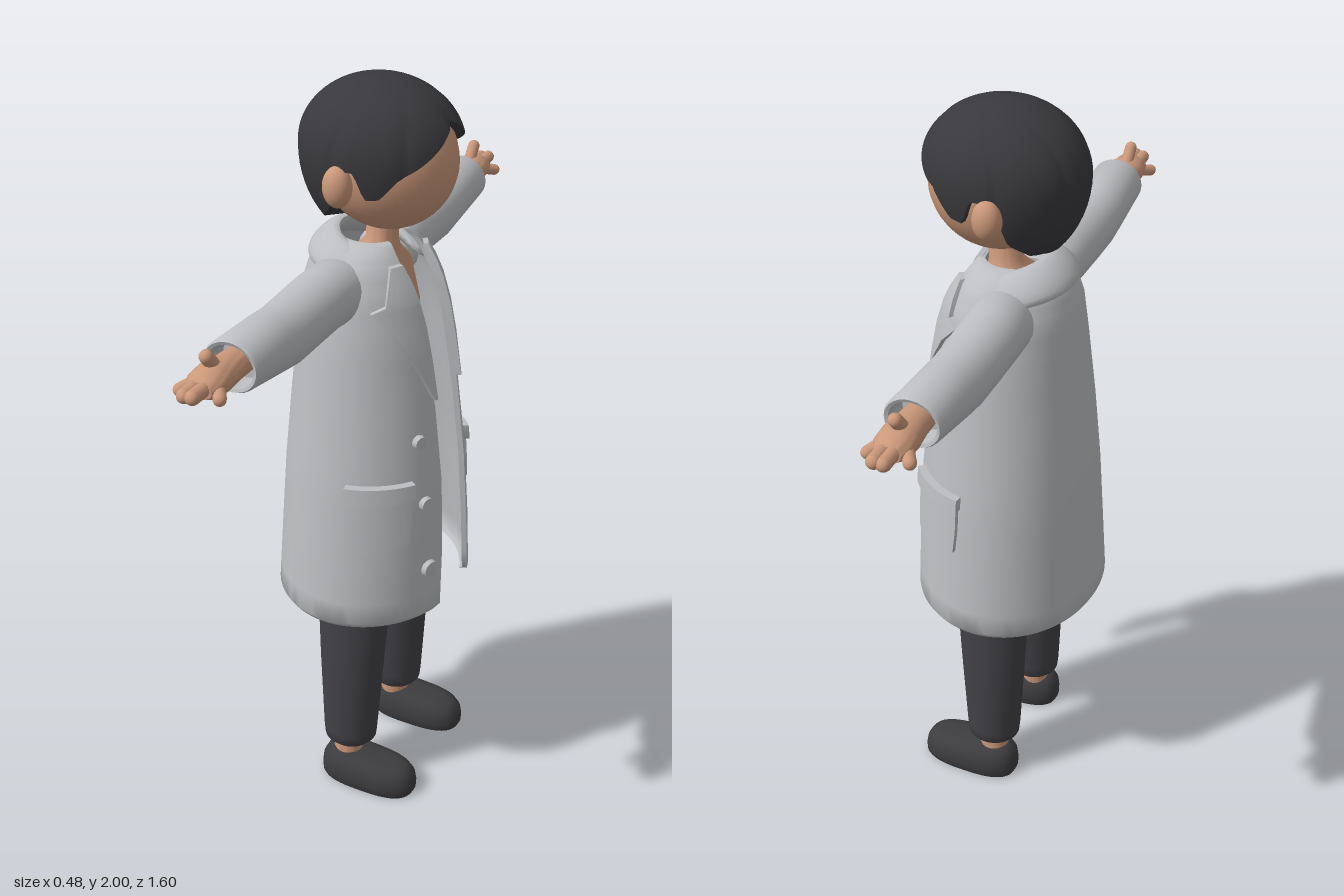
import * as THREE from 'three';
import { toCreasedNormals } from 'three/addons/utils/BufferGeometryUtils.js';

const { PI, sin, cos, asin, acos, abs, sqrt, min, max } = Math;
const lerp = THREE.MathUtils.lerp;
const mat = (name, color) => Object.assign(new THREE.MeshStandardMaterial({ color }), { name });

// Interpolates a table of rows keyed by the first column
function sample(rows, k) {
  let i = 0;
  while (i < rows.length - 2 && k > rows[i + 1][0]) i++;
  const a = rows[i], b = rows[i + 1], t = min(1, max(0, (k - a[0]) / (b[0] - a[0])));
  return a.map((v, j) => lerp(v, b[j], t));
}

// Skins closed loops of points (counter-clockwise about their direction) and caps both ends
function loft(rings, crease = 0.9) {
  const n = rings[0].length, idx = [], last = (rings.length - 1) * n;
  for (let j = 0; j < rings.length - 1; j++) {
    for (let i = 0; i < n; i++) {
      const a = j * n + i, b = j * n + (i + 1) % n;
      idx.push(a, b, a + n, b, b + n, a + n);
    }
  }
  for (let i = 0; i < n / 2 - 1; i++) {
    const p = n - 1 - i, q = n - 2 - i;
    idx.push(i, p, i + 1, i + 1, p, q);
    idx.push(last + i, last + i + 1, last + p, last + i + 1, last + q, last + p);
  }
  const g = new THREE.BufferGeometry();
  g.setAttribute('position', new THREE.Float32BufferAttribute(rings.flat(2), 3));
  g.setIndex(idx);
  return toCreasedNormals(g, crease);
}

const loop = (n, fn) => Array.from({ length: n }, (_, i) => fn(i / n * 2 * PI));
// Upright body from rows [y, x, z, radiusX, radiusZ]
const upright = (rows, s = 1) => loft(rows.map(([y, x, z, rx, rz]) =>
  loop(32, a => [s * x + rx * sin(a), y, z + rz * cos(a)])));
// Sideways limb from rows [x, y, z, radiusY, radiusZ]
const sideways = (rows, s) => loft(rows.map(([x, y, z, ry, rz]) =>
  loop(28, a => [s * x, y + ry * cos(a), z + s * rz * sin(a)])));

// Coat profile: y, half width, front depth, back depth, half opening
const COAT = [
  [0.615, 0.28, 0.243, 0.236, 0.105], [0.63, 0.29, 0.252, 0.244, 0.09], [0.8, 0.272, 0.247, 0.234, 0.078],
  [1.0, 0.25, 0.236, 0.222, 0.07], [1.2, 0.222, 0.214, 0.205, 0.068], [1.4, 0.197, 0.182, 0.182, 0.068],
  [1.5, 0.178, 0.152, 0.17, 0.068], [1.56, 0.152, 0.122, 0.152, 0.068], [1.59, 0.125, 0.1, 0.13, 0.06],
  [1.61, 0.09, 0.085, 0.105, 0.05]];
function coatPoint(a, y, off) {
  const [, rx, rf, rb] = sample(COAT, y);
  return [(rx + off) * sin(a), y, ((cos(a) > 0 ? rf : rb) + off) * cos(a)];
}
const coatAngle = (x, y) => asin(min(1, x / sample(COAT, y)[1]));
// Slab hugging the coat from rows [y, angle from, angle to]
function patch(rows, off, s = 1, inner = -0.004) {
  const n = 16;
  return loft(rows.map(([y, lo, hi]) => {
    const [a, b] = s > 0 ? [lo, hi] : [-hi, -lo], out = [], back = [];
    for (let i = 0; i <= n; i++) {
      out.push(coatPoint(lerp(a, b, i / n), y, off));
      back.unshift(coatPoint(lerp(a, b, i / n), y, inner));
    }
    return [...out, ...back];
  }));
}

function coatShell() {
  const rows = COAT.flatMap((r, i) => i < COAT.length - 1 ? [0, 1, 2].map(k => lerp(r[0], COAT[i + 1][0], k / 3)) : [r[0]]);
  const n = 64;
  return loft(rows.map(y => {
    const a0 = coatAngle(sample(COAT, y)[4], y), out = [], inn = [];
    for (let i = 0; i <= n; i++) {
      const a = lerp(a0, 2 * PI - a0, i / n);
      out.push(coatPoint(a, y, 0));
      inn.unshift(coatPoint(a, y, -0.014));
    }
    return [...out, ...inn];
  }));
}

// Thick turned-down collar sweeping around the neck
function collarRoll() {
  const rings = [], n = 48;
  for (let i = 0; i <= n; i++) {
    const a = lerp(0.62, 2 * PI - 0.62, i / n), e = 0.3 + 0.7 * min(1, sqrt(min(i, n - i) / 5));
    const y = 1.568 - 0.027 * cos(a);
    rings.push(loop(18, t => {
      const u = 0.05 * e * cos(t), v = -0.018 * e * sin(t), r = 0.75 * u + 0.66 * v;
      return [(0.12 + r) * sin(a), y - 0.66 * u + 0.75 * v, -0.005 + (0.115 + r) * cos(a)];
    }));
  }
  return loft(rings);
}

// Hair cap with a centre parting, grooved locks and a shaped hairline
const HAIRLINE = [[0, 1.915], [0.25, 1.89], [0.6, 1.85], [1.0, 1.805], [1.2, 1.76], [1.38, 1.755],
  [1.5, 1.82], [1.75, 1.82], [1.95, 1.71], [2.3, 1.67], [PI, 1.655]];
function hairCap() {
  const rows = 24, rings = [];
  const at = (f, t, scale) => {
    const p = f > PI ? f - 2 * PI : f, q = abs(p);
    const yl = sample(HAIRLINE, q)[1] - 1.83;
    const th = acos(yl / (yl > 0 ? 0.17 : 0.24)) * t, st = sin(th), c = cos(th);
    const lock = (1 - abs(sin((q + 0.5 * (1 - st)) * 3.5))) ** 4;
    const k = scale * st * (1 - st * (0.03 * lock + 0.03 * Math.exp(-((p / 0.09) ** 2))));
    return [0.176 * k * sin(f), 1.83 + c * (c > 0 ? 0.17 : 0.24), 0.02 + 0.204 * k * cos(f)];
  };
  for (const s of [0.35, 0.8, 0.96]) rings.push(loop(120, f => at(f, 1, s)));
  for (let j = rows; j >= 0; j--) rings.push(loop(120, f => at(f, max(0.002, j / rows), 1)));
  return loft(rings, 1.0);
}

export function createModel() {
  const skin = mat('skin', 0xcb987a), coat = mat('coat grey', 0xbcbec1), hair = mat('hair', 0x39393d);
  const cloth = mat('trouser cloth', 0x424146), shoe = mat('shoe', 0x3d3c3f);
  const figure = new THREE.Group();
  const add = (name, geo, m, pos = [0, 0, 0]) => {
    const mesh = new THREE.Mesh(geo, m);
    mesh.name = name;
    mesh.position.set(...pos);
    figure.add(mesh);
    return mesh;
  };
  const ball = (rx, ry, rz) => new THREE.SphereGeometry(1, 36, 24).scale(rx, ry, rz);

  // Head, neck and torso
  add('head', ball(0.155, 0.166, 0.17), skin, [0, 1.8, 0.038]);
  add('hair', hairCap(), hair);
  add('torso', upright([[1.1, 0, 0.01, 0.135, 0.105], [1.25, 0, 0.01, 0.135, 0.108], [1.42, 0, 0, 0.14, 0.108],
    [1.52, 0, 0, 0.125, 0.085], [1.57, 0, 0.01, 0.065, 0.055], [1.6, 0, 0.022, 0.04, 0.04], [1.7, 0, 0.03, 0.038, 0.04]]), skin);

  // Trousers top and waistband
  add('hips', upright([[0.92, 0, 0.005, 0.1, 0.08], [0.96, 0, 0.005, 0.15, 0.108], [1.05, 0, 0.008, 0.15, 0.114], [1.13, 0, 0.01, 0.142, 0.112]]), cloth);
  add('waistband', upright([[1.11, 0, 0.01, 0.145, 0.119], [1.18, 0, 0.01, 0.142, 0.117]]), cloth);

  // Coat body, collar and buttons
  add('coatBody', coatShell(), coat);
  add('collar', collarRoll(), coat);
  for (const [y, r] of [[1.13, 0.02], [0.955, 0.021], [0.76, 0.026]]) {
    const a = -coatAngle(0.125, y), p = coatPoint(a, y, 0.002);
    add('button', new THREE.CylinderGeometry(r * 0.85, r, 0.018, 24).rotateX(PI / 2), coat, p).rotation.y = a * 0.8;
  }

  for (const s of [1, -1]) {
    add('ear', ball(0.032, 0.05, 0.036), skin, [s * 0.172, 1.78, -0.008]);

    // Lapel with a notch, and flapped pocket
    const lapel = [[1.23, 0.074], [1.34, 0.115], [1.42, 0.143], [1.475, 0.163], [1.488, 0.14], [1.53, 0.12], [1.57, 0.095]];
    add('lapel', patch(lapel.map(([y, x]) => [y, coatAngle(0.066, y), coatAngle(x, y)]), 0.013, s), coat);
    add('pocket', patch([[0.85, 0.78, 1.3], [0.865, 0.72, 1.35], [0.93, 0.7, 1.37], [1.0, 0.7, 1.37]], 0.012, s), coat);
    add('pocketFlap', patch([[0.985, 0.69, 1.36], [0.995, 0.67, 1.39], [1.03, 0.67, 1.39]], 0.02, s), coat);

    // Sleeve with an open cuff
    add('sleeve', sideways([[0.08, 1.5, -0.02, 0.06, 0.07], [0.14, 1.505, -0.03, 0.08, 0.08], [0.22, 1.507, -0.036, 0.077, 0.078],
      [0.32, 1.503, -0.037, 0.076, 0.076], [0.4, 1.5, -0.037, 0.076, 0.074], [0.46, 1.507, -0.037, 0.074, 0.073],
      [0.618, 1.525, -0.035, 0.064, 0.07], [0.625, 1.525, -0.035, 0.06, 0.066], [0.622, 1.525, -0.035, 0.052, 0.058],
      [0.56, 1.52, -0.035, 0.05, 0.055]], s), coat);

    // Hand: wrist and palm, four fingers, raised thumb
    add('palm', sideways([[0.55, 1.522, -0.037, 0.032, 0.036], [0.63, 1.526, -0.037, 0.034, 0.04], [0.68, 1.528, -0.038, 0.038, 0.046],
      [0.72, 1.528, -0.038, 0.034, 0.045], [0.745, 1.526, -0.038, 0.02, 0.032]], s), skin);
    const finger = (name, from, to, r) => {
      const a = new THREE.Vector3(s * from[0], from[1], from[2]), d = new THREE.Vector3(s * to[0], to[1], to[2]).sub(a);
      const f = add(name, new THREE.CapsuleGeometry(r, d.length(), 6, 14), skin, a.clone().addScaledVector(d, 0.5).toArray());
      f.quaternion.setFromUnitVectors(new THREE.Vector3(0, 1, 0), d.normalize());
    };
    finger('foreFinger', [0.71, 1.525, -0.01], [0.74, 1.515, 0.01], 0.015);
    finger('middleFinger', [0.71, 1.53, -0.028], [0.784, 1.532, -0.028], 0.017);
    finger('ringFinger', [0.71, 1.53, -0.05], [0.782, 1.53, -0.05], 0.017);
    finger('littleFinger', [0.71, 1.525, -0.068], [0.74, 1.515, -0.088], 0.015);
    finger('thumb', [0.67, 1.545, -0.04], [0.705, 1.588, -0.04], 0.016);

    // Leg, ankle and shoe
    add('trouserLeg', upright([[0.125, 0.145, 0, 0.055, 0.06], [0.14, 0.145, 0, 0.069, 0.073], [0.17, 0.145, 0, 0.07, 0.076],
      [0.4, 0.138, 0.003, 0.074, 0.09], [0.6, 0.13, 0.006, 0.077, 0.101], [0.8, 0.11, 0.006, 0.083, 0.105],
      [0.95, 0.086, 0.006, 0.084, 0.105], [1.05, 0.075, 0.006, 0.07, 0.1]], s), cloth);
    add('ankle', upright([[0.06, 0.152, -0.005, 0.042, 0.042], [0.18, 0.147, 0, 0.04, 0.04]], s), skin);
    const sole = [[0, 0.94], [0.008, 0.99], [0.03, 1], [0.055, 0.96], [0.075, 0.83], [0.086, 0.65], [0.09, 0.4]];
    add('shoe', loft(sole.map(([y, k]) => loop(40, a => {
      const z = 0.14 * (k * 0.6 + 0.4) * Math.sign(cos(a)) * abs(cos(a)) ** 0.7;
      const x = 0.068 * k * Math.sign(sin(a)) * abs(sin(a)) ** 0.8;
      return [s * 0.158 + x, y * (1 - 0.9 * z), 0.065 + z];
    }))), shoe);
  }

  // The figure looks along +x
  figure.name = 'figure';
  figure.rotation.y = PI / 2;
  const model = new THREE.Group();
  model.add(figure);
  return model;
}
